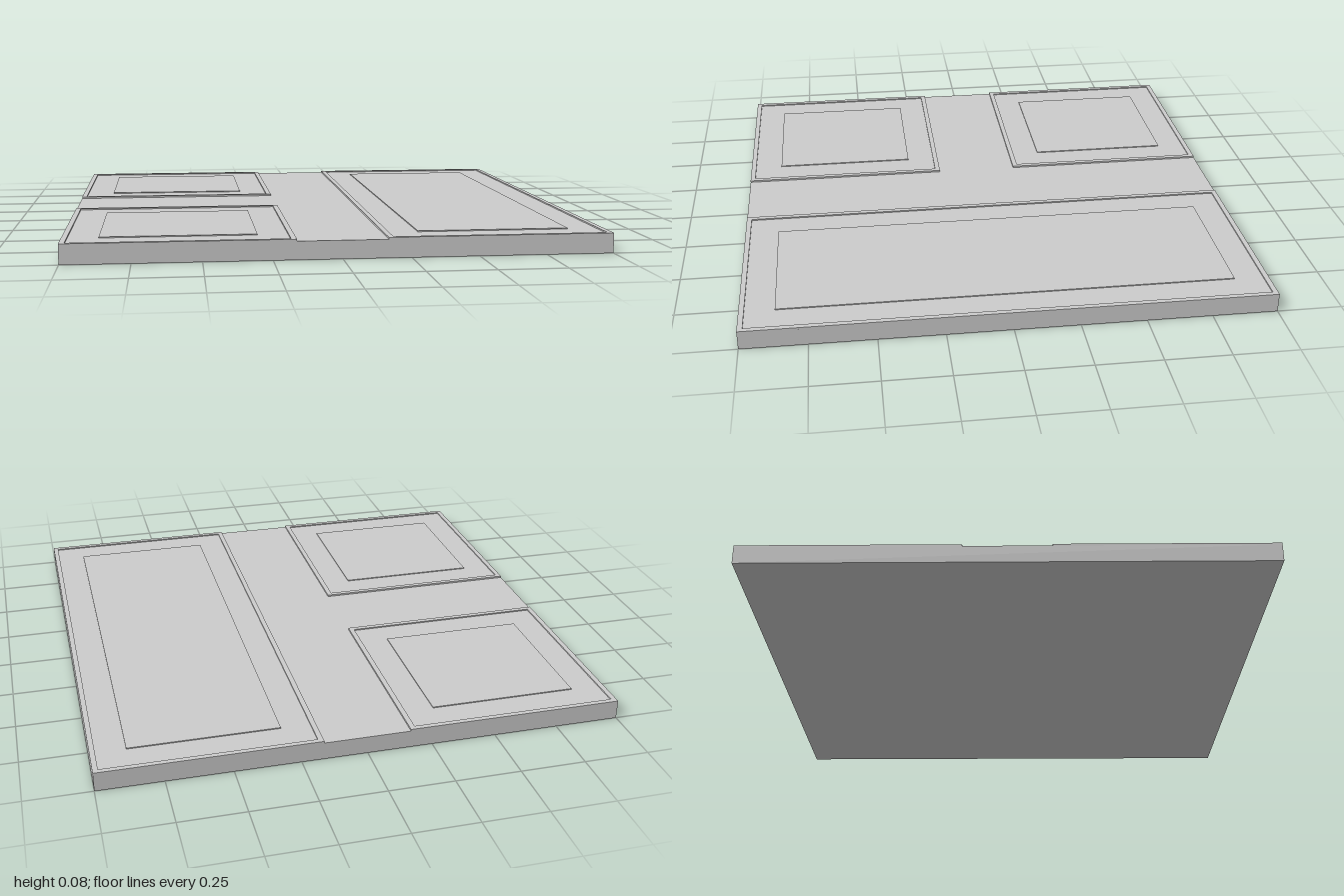
import * as THREE from 'three';

const ROAD = 0.068, WALK = 0.07, LAWN = 0.074, TOP = 0.075;
const HALF_ROAD = 0.165, CURB = 0.02, MARGIN = 0.132;

export function createModel() {
  const group = new THREE.Group();
  const material = new THREE.MeshStandardMaterial({ color: 0xcccccc, flatShading: true });

  const slab = (name, parent, x0, x1, z0, z1, y0, y1) => {
    const mesh = new THREE.Mesh(new THREE.BoxGeometry(x1 - x0, y1 - y0, z1 - z0), material);
    mesh.position.set((x0 + x1) / 2, (y0 + y1) / 2, (z0 + z1) / 2);
    mesh.name = name;
    parent.add(mesh);
  };

  const rectangle = (Type, x0, x1, z0, z1) => new Type([
    new THREE.Vector2(x0, -z1), new THREE.Vector2(x1, -z1),
    new THREE.Vector2(x1, -z0), new THREE.Vector2(x0, -z0),
  ]);

  // Raised block: curb frame, sunken pavement and a low central plot
  const cityBlock = (name, x0, x1, z0, z1) => {
    const block = new THREE.Group();
    block.name = name;
    const frame = rectangle(THREE.Shape, x0, x1, z0, z1);
    frame.holes.push(rectangle(THREE.Path, x0 + CURB, x1 - CURB, z0 + CURB, z1 - CURB));
    const geometry = new THREE.ExtrudeGeometry(frame, { depth: TOP - ROAD, bevelEnabled: false });
    geometry.rotateX(-Math.PI / 2);
    const curb = new THREE.Mesh(geometry, material);
    curb.position.y = ROAD;
    curb.name = 'curb';
    block.add(curb);
    slab('pavement', block, x0 + CURB, x1 - CURB, z0 + CURB, z1 - CURB, ROAD, WALK);
    slab('plot', block, x0 + MARGIN, x1 - MARGIN, z0 + MARGIN, z1 - MARGIN, WALK, LAWN);
    group.add(block);
  };

  // Base slab whose exposed top is the T-shaped road
  slab('roadBase', group, -1, 1, -1, 1, 0, ROAD);

  // One long block on the left, two square ones on the right
  cityBlock('longBlock', HALF_ROAD, 1, -1, 1);
  cityBlock('frontBlock', -1, -HALF_ROAD, HALF_ROAD, 1);
  cityBlock('backBlock', -1, -HALF_ROAD, -1, -HALF_ROAD);

  return group;
}
